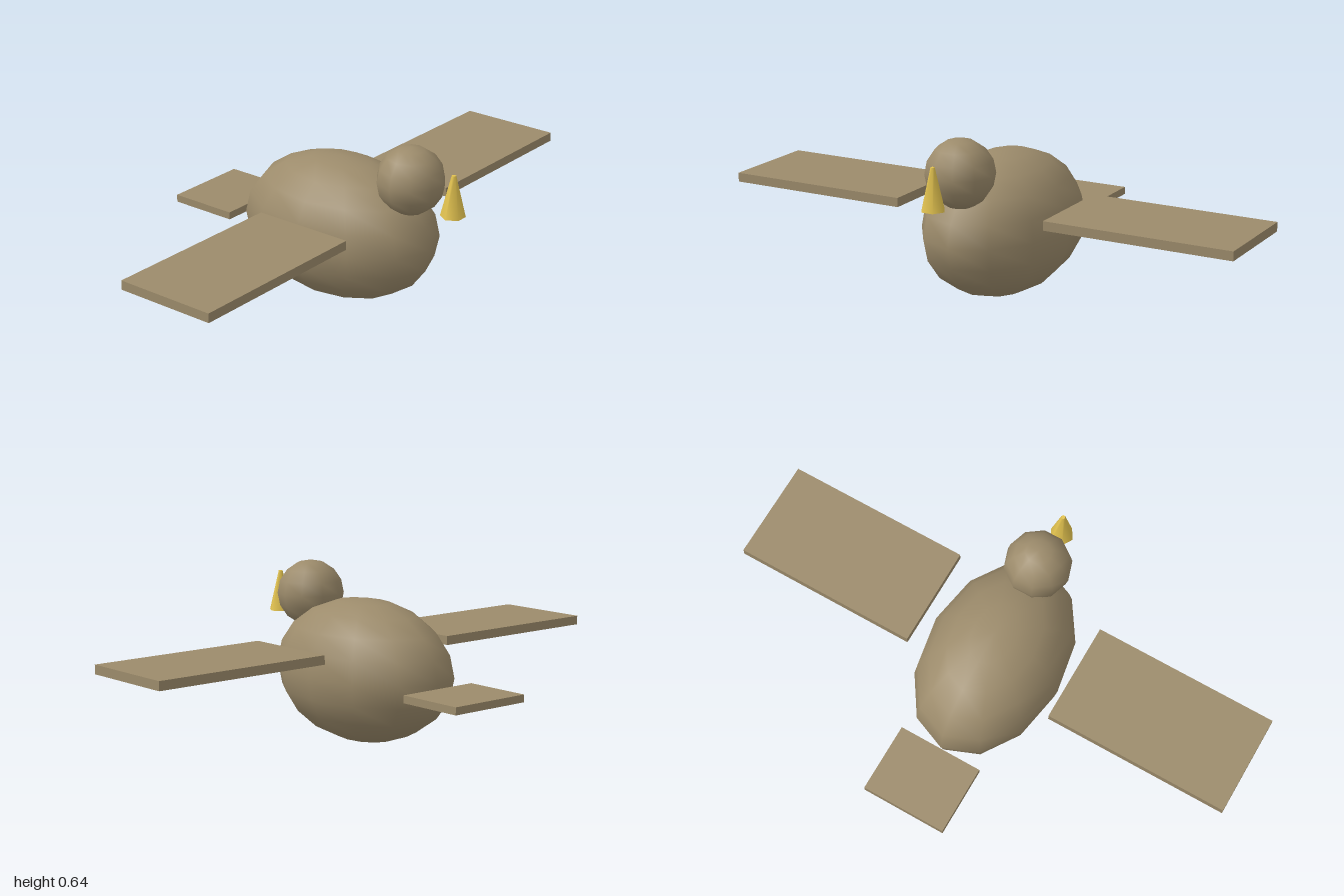
import * as THREE from 'three';

export function createModel() {
  const model = new THREE.Group();
  model.name = 'bird';
  const plumage = new THREE.MeshStandardMaterial({ color: 0x9c8b6b });
  const horn = new THREE.MeshStandardMaterial({ color: 0xe3c34f });

  const add = (name, geometry, material, x, y, z) => {
    const mesh = new THREE.Mesh(geometry, material);
    mesh.name = name;
    mesh.position.set(x, y, z);
    model.add(mesh);
    return mesh;
  };

  // Egg-shaped body, stretched along z
  const body = new THREE.SphereGeometry(1, 12, 10).scale(0.263, 0.265, 0.398);
  add('body', body, plumage, 0, 0.265, 0.067);

  // Round head resting on the front of the body
  add('head', new THREE.SphereGeometry(0.125, 10, 8), plumage, 0, 0.516, 0.375);

  // Upright six-sided beak with a tiny blunt tip
  const beak = new THREE.CylinderGeometry(0.008, 0.045, 0.152, 6).rotateY(Math.PI / 6);
  add('beak', beak, horn, 0, 0.504, 0.557);

  // Flat wings held clear of the body
  for (const [name, side] of [['leftWing', 1], ['rightWing', -1]]) {
    add(name, new THREE.BoxGeometry(0.705, 0.034, 0.384), plumage, side * 0.6475, 0.355, 0.128);
  }

  // Flat tail
  add('tail', new THREE.BoxGeometry(0.326, 0.028, 0.264), plumage, 0, 0.238, -0.464);

  return model;
}
